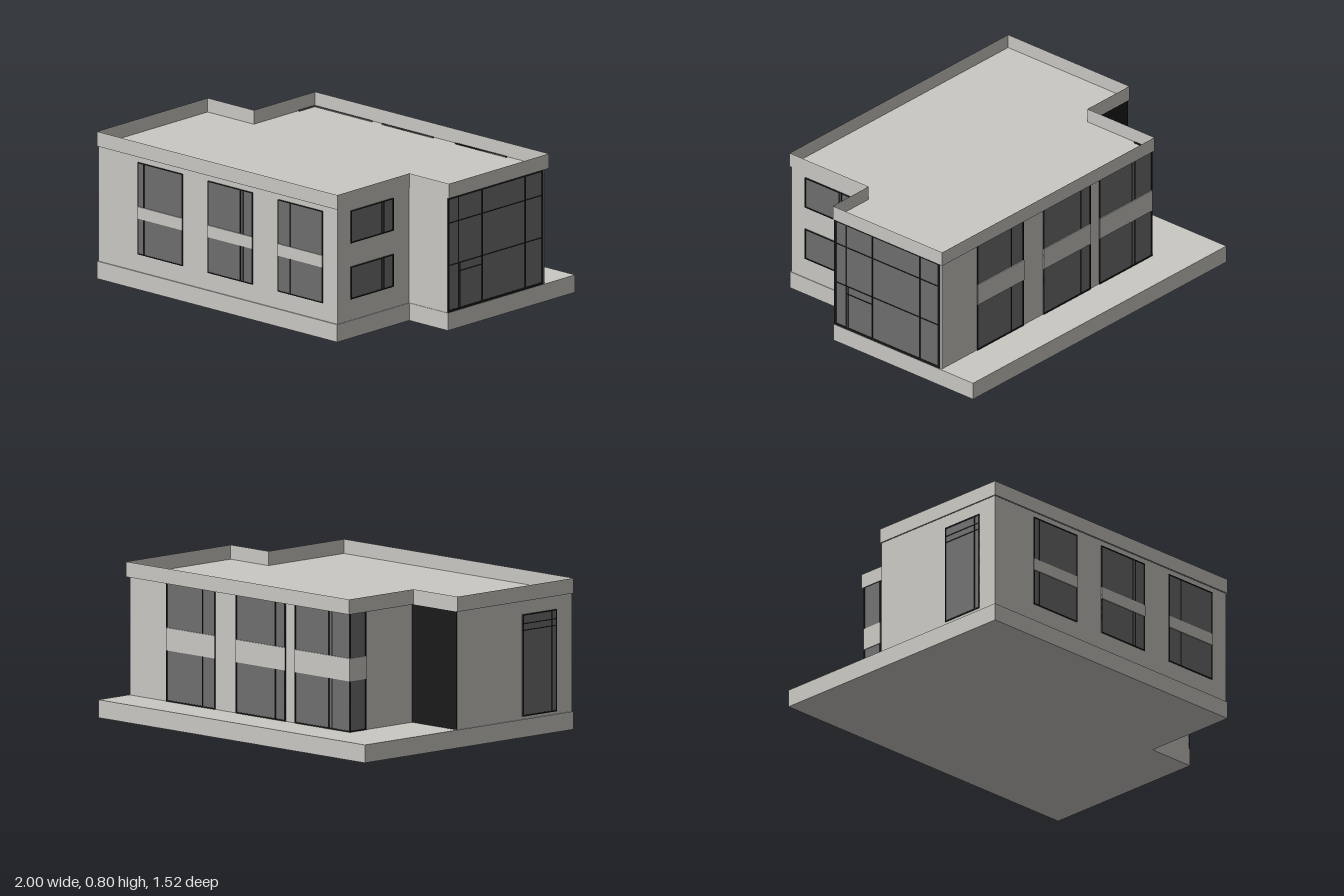
import * as THREE from 'three';

const concrete = new THREE.MeshStandardMaterial({ color: 0xcac8c3, side: THREE.DoubleSide });
concrete.name = 'concrete';
const glass = new THREE.MeshStandardMaterial({ color: 0x6e6e6e });
glass.name = 'greyGlass';
const black = new THREE.MeshStandardMaterial({ color: 0x1a1a1a });
black.name = 'blackMetal';

const FLOOR = 0.095, ROOF = 0.72, TOP = 0.8;
// Facing angles: local x runs along the wall, local z points outwards
const FRONT = 0, RIGHT = Math.PI / 2, BACK = Math.PI, LEFT = -Math.PI / 2;

function mesh(name, geometry, material) {
  const m = new THREE.Mesh(geometry, material);
  m.name = name;
  return m;
}

// Plan outline given as [x, z] corners
function plan(points) {
  return new THREE.Shape(points.map(([x, z]) => new THREE.Vector2(x, -z)));
}

function prism(name, points, y0, y1) {
  const g = new THREE.ExtrudeGeometry(plan(points), { depth: y1 - y0, bevelEnabled: false });
  g.rotateX(-Math.PI / 2).translate(0, y0, 0);
  return mesh(name, g, concrete);
}

// Flat plate on a wall: u range, y range, wall distance and thickness
function plate(name, [u0, u1, y0, y1], d, t, material) {
  const g = new THREE.BoxGeometry(u1 - u0, y1 - y0, t);
  g.translate((u0 + u1) / 2, (y0 + y1) / 2, d + t / 2);
  return mesh(name, g, material);
}

// Glazed opening with a frame, extra bars and an optional wall band across it
function addWindow(parent, name, facing, d, rect, { bars = [], band = null, frame = 0.007 } = {}) {
  const [u0, u1, y0, y1] = rect;
  const w = new THREE.Group();
  w.name = name;
  w.rotation.y = facing;
  w.add(plate('glassPane', rect, d, 0.003, glass));
  const edges = [
    [u0, u0 + frame, y0, y1], [u1 - frame, u1, y0, y1],
    [u0, u1, y0, y0 + frame], [u0, u1, y1 - frame, y1],
  ];
  for (const e of edges) w.add(plate('frameEdge', e, d, 0.006, black));
  for (const b of bars) w.add(plate('glazingBar', b, d, 0.0055, black));
  if (band) w.add(plate('wallBand', [u0, u1, ...band], d, 0.008, concrete));
  parent.add(w);
}

const vBar = (u, y0, y1, t = 0.006) => [u - t / 2, u + t / 2, y0, y1];
const hBar = (y, u0, u1, t = 0.005) => [u0, u1, y - t / 2, y + t / 2];

export function createModel() {
  const model = new THREE.Group();
  model.name = 'building';

  // Ground slab and main walls
  model.add(prism('baseSlab',
    [[-1, 0.76], [0.717, 0.76], [0.717, 0.21], [0.993, 0.21], [0.993, -0.76], [-1, -0.76]], 0, FLOOR));
  model.add(prism('walls',
    [[-0.994, 0.753], [0.713, 0.753], [0.713, 0.207], [0.985, 0.207], [0.985, -0.536],
      [-0.658, -0.536], [-0.658, -0.08], [-0.994, -0.08]], FLOOR, ROOF));

  // Roof deck and thin parapet around it
  const outline = [[-1, 0.76], [0.718, 0.76], [0.718, 0.21], [1, 0.21], [1, -0.552],
    [-0.67, -0.552], [-0.67, -0.085], [-1, -0.085]];
  const deck = new THREE.ShapeGeometry(plan(outline));
  deck.rotateX(-Math.PI / 2).translate(0, ROOF + 0.004, 0);
  model.add(mesh('roofDeck', deck, concrete));
  const parapet = new THREE.Group();
  parapet.name = 'parapet';
  outline.forEach(([x0, z0], i) => {
    const [x1, z1] = outline[(i + 1) % outline.length];
    const side = mesh('parapetSide',
      new THREE.PlaneGeometry(Math.hypot(x1 - x0, z1 - z0), TOP - ROOF), concrete);
    side.position.set((x0 + x1) / 2, (TOP + ROOF) / 2, (z0 + z1) / 2);
    side.rotation.y = Math.atan2(z0 - z1, x1 - x0);
    parapet.add(side);
  });
  model.add(parapet);

  // Front windows, two storeys split by a band
  for (const [u0, u1, ...mullions] of [[-0.71, -0.39, -0.668], [-0.21, 0.11, 0.022, 0.04], [0.29, 0.61, 0.376]]) {
    addWindow(model, 'frontWindow', FRONT, 0.753, [u0, u1, 0.19, 0.69],
      { bars: mullions.map((u) => vBar(u, 0.19, 0.69)), band: [0.385, 0.45], frame: 0.005 });
  }

  // Small windows on the side of the front wing
  for (const [y0, y1] of [[0.21, 0.387], [0.515, 0.692]]) {
    addWindow(model, 'sideWindow', RIGHT, 0.713, [-0.655, -0.33, y0, y1],
      { bars: [vBar(-0.418, y0, y1), vBar(-0.402, y0, y1)], frame: 0.006 });
  }

  // Full-height glazed entrance wall with a door
  addWindow(model, 'entranceGlazing', RIGHT, 0.985, [-0.208, 0.522, FLOOR, ROOF], {
    frame: 0.012,
    bars: [
      vBar(-0.125, FLOOR, ROOF, 0.008), vBar(0.055, FLOOR, ROOF, 0.008), vBar(0.385, FLOOR, ROOF, 0.008),
      hBar(0.58, -0.208, 0.522), hBar(0.35, -0.208, 0.522),
      hBar(0.305, -0.125, 0.055), vBar(-0.114, FLOOR, 0.35, 0.004),
    ],
  });

  // Rear windows rising just past the roof deck, the last one turning the corner
  const rearTop = ROOF + 0.01, rearBand = [0.365, 0.485];
  for (const [u0, u1, ...mullions] of [[-0.71, -0.345, -0.44], [-0.19, 0.18, 0.105], [0.25, 0.664, 0.505, 0.53]]) {
    addWindow(model, 'rearWindow', BACK, 0.536, [u0, u1, FLOOR, rearTop],
      { bars: mullions.map((u) => vBar(u, FLOOR, rearTop)), band: rearBand });
  }
  addWindow(model, 'cornerWindow', LEFT, 0.658, [-0.542, -0.42, FLOOR, rearTop], { band: rearBand });

  // Black panel in the recess and tall window on the left wall
  const panel = plate('recessPanel', [0.66, 0.99, FLOOR, ROOF], 0.08, 0.004, black);
  panel.rotation.y = BACK;
  model.add(panel);
  addWindow(model, 'tallWindow', LEFT, 0.994, [0.39, 0.64, 0.11, 0.65],
    { bars: [vBar(0.605, 0.11, 0.65), hBar(0.6, 0.39, 0.64), hBar(0.565, 0.39, 0.64)] });

  return model;
}
